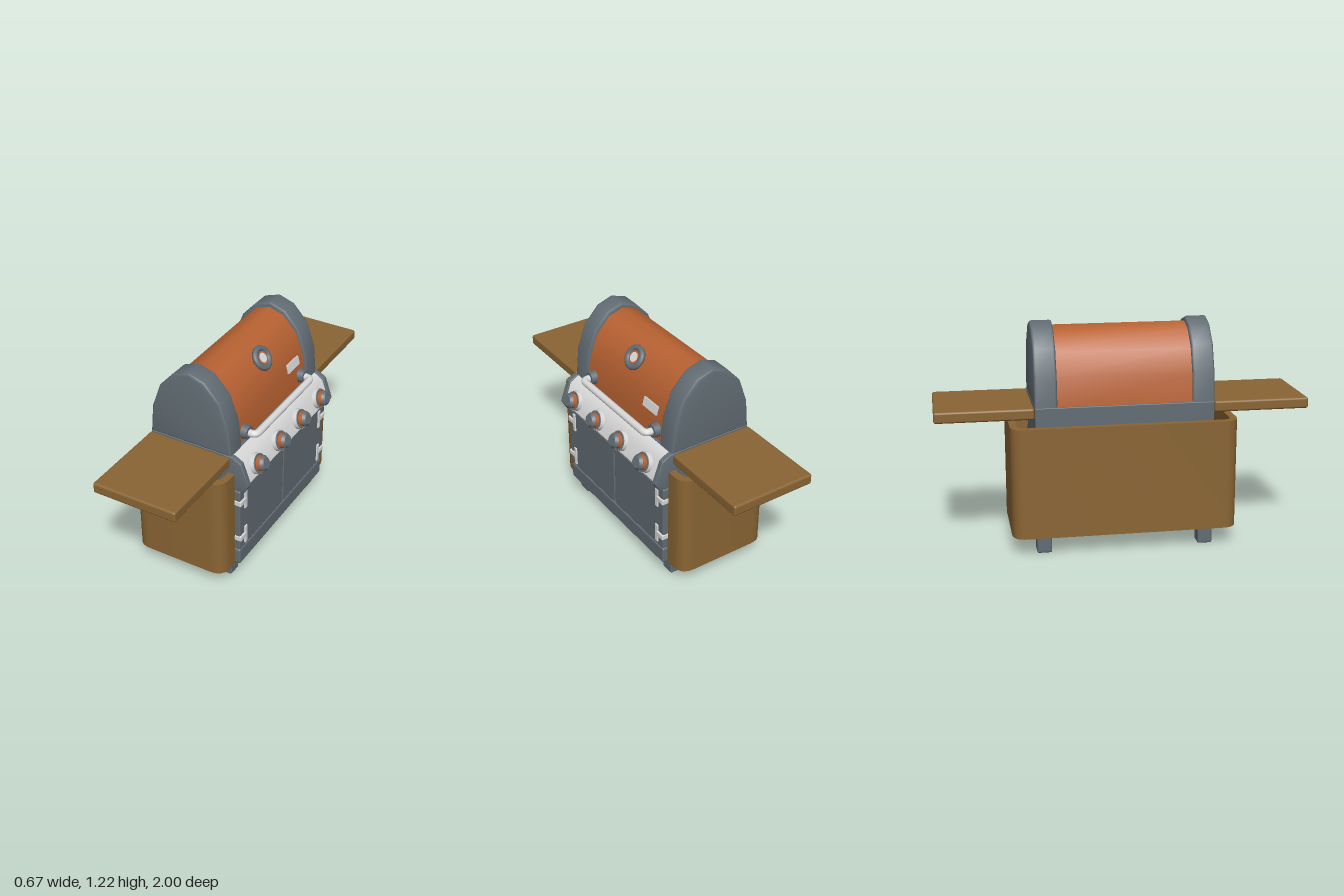
import * as THREE from 'three';
import { toCreasedNormals } from 'three/addons/utils/BufferGeometryUtils.js';
import { RoundedBoxGeometry } from 'three/addons/geometries/RoundedBoxGeometry.js';

const material = (name, color) => Object.assign(new THREE.MeshStandardMaterial({ color }), { name });

export function createModel() {
  const grey = material('slate grey', 0x626d74);
  const wood = material('wood brown', 0x8a6534);
  const orange = material('copper orange', 0xb86232);
  const white = material('pale metal', 0xdadada);
  const model = new THREE.Group();
  model.name = 'grill';

  const add = (name, geo, mat, x = 0, y = 0, z = 0, parent = model) => {
    const mesh = new THREE.Mesh(geo, mat);
    mesh.name = name;
    mesh.position.set(x, y, z);
    parent.add(mesh);
    return mesh;
  };
  // Box given by its lower and upper corners, with softly rounded edges
  const box = (name, mat, x0, x1, y0, y1, z0, z1, r = 0.006) =>
    add(name, new RoundedBoxGeometry(x1 - x0, y1 - y0, z1 - z0, 2, r), mat,
      (x0 + x1) / 2, (y0 + y1) / 2, (z0 + z1) / 2);
  // Side profile extruded along z
  const slab = (name, points, mat, z0, z1, bevel = 0) => {
    const shape = new THREE.Shape(points.map(([x, y]) => new THREE.Vector2(x, y)));
    const geo = new THREE.ExtrudeGeometry(shape, {
      depth: z1 - z0 - 2 * bevel, bevelEnabled: bevel > 0, bevelThickness: bevel,
      bevelSize: bevel, bevelOffset: -bevel, bevelSegments: 3,
    });
    return add(name, toCreasedNormals(geo, 0.7), mat, 0, 0, z0 + bevel);
  };
  // Group whose local y axis leans out from the front by the given angle
  const facing = (name, x, y, z, lean) => {
    const g = new THREE.Group();
    g.name = name;
    g.position.set(x, y, z);
    g.rotation.z = -lean;
    model.add(g);
    return g;
  };
  const cyl = (top, bottom, h) => new THREE.CylinderGeometry(top, bottom, h, 24);

  // Cabinet, doors and base rail
  box('cabinet', grey, -0.29, 0.19, 0.1, 0.8, -0.478, 0.478, 0.004);
  box('baseRail', grey, 0.18, 0.245, 0.1, 0.199, -0.48, 0.48, 0.012);
  for (const s of [-1, 1]) {
    const side = s > 0 ? 'left' : 'right';
    const span = (a, b) => (s > 0 ? [a, b] : [-b, -a]);
    box(side + 'Door', grey, 0.18, 0.245, 0.203, 0.592, ...span(0.002, 0.48), 0.008);
    box(side + 'Shelf', wood, -0.29, 0.19, 0.74, 0.8, ...span(0.48, 1), 0.012);
    for (const x of [-0.29, 0.11])
      box('leg', grey, x, x + 0.08, 0, 0.12, ...span(0.4, 0.48), 0.01);
    // T-shaped hinges
    for (const y of [0.28, 0.515]) {
      box('hingeBar', white, 0.24, 0.252, y - 0.058, y + 0.056, ...span(0.41, 0.435), 0.004);
      box('hingeArm', white, 0.212, 0.254, y - 0.016, y + 0.016, ...span(0.42, 0.484), 0.005);
    }
  }

  // Wooden surround, open at the front, drawn in plan (x, z)
  const wrap = new THREE.Shape();
  wrap.moveTo(0.215, 0.48);
  wrap.lineTo(0.215, 0.53);
  wrap.quadraticCurveTo(0.215, 0.61, 0.13, 0.61);
  wrap.lineTo(-0.25, 0.61);
  wrap.quadraticCurveTo(-0.335, 0.61, -0.335, 0.53);
  wrap.lineTo(-0.335, -0.53);
  wrap.quadraticCurveTo(-0.335, -0.61, -0.25, -0.61);
  wrap.lineTo(0.13, -0.61);
  wrap.quadraticCurveTo(0.215, -0.61, 0.215, -0.53);
  wrap.lineTo(0.215, -0.48);
  wrap.lineTo(0.175, -0.48);
  wrap.lineTo(0.175, -0.53);
  wrap.quadraticCurveTo(0.175, -0.57, 0.13, -0.57);
  wrap.lineTo(-0.25, -0.57);
  wrap.quadraticCurveTo(-0.295, -0.57, -0.295, -0.53);
  wrap.lineTo(-0.295, 0.53);
  wrap.quadraticCurveTo(-0.295, 0.57, -0.25, 0.57);
  wrap.lineTo(0.13, 0.57);
  wrap.quadraticCurveTo(0.175, 0.57, 0.175, 0.53);
  wrap.lineTo(0.175, 0.48);
  const wrapGeo = new THREE.ExtrudeGeometry(wrap, { depth: 0.6, bevelEnabled: false, curveSegments: 6 });
  add('woodSurround', toCreasedNormals(wrapGeo.rotateX(Math.PI / 2), 0.7), wood, 0, 0.7, 0);

  // Lid: a faceted arch with thicker end caps
  const arch = [[0.19, 0.8], [0.175, 0.96], [0.125, 1.1], [0.04, 1.192], [-0.05, 1.222],
    [-0.14, 1.192], [-0.225, 1.1], [-0.275, 0.96], [-0.29, 0.8]];
  const inner = arch.map(([x, y]) => [-0.05 + (x + 0.05) * 0.945, 0.8 + (y - 0.8) * 0.94]);
  slab('lid', inner, orange, -0.37, 0.37);
  slab('lidLeftCap', arch, grey, 0.36, 0.48, 0.012);
  slab('lidRightCap', arch, grey, -0.48, -0.36, 0.012);

  // Control panel with end brackets
  const bracket = [[0.15, 0.6], [0.27, 0.6], [0.296, 0.65], [0.252, 0.773], [0.205, 0.8], [0.15, 0.8]];
  const panel = [[0.15, 0.606], [0.262, 0.606], [0.287, 0.65], [0.245, 0.767], [0.2, 0.796], [0.15, 0.796]];
  slab('controlPanel', panel, white, -0.455, 0.455);
  slab('leftBracket', bracket, grey, 0.45, 0.482, 0.004);
  slab('rightBracket', bracket, grey, -0.482, -0.45, 0.004);

  // Knobs
  for (const z of [-0.35, -0.117, 0.117, 0.35]) {
    const knob = facing('knob', 0.263, 0.706, z, 1.22);
    add('knobBezel', cyl(0.055, 0.058, 0.03), white, 0, 0.012, 0, knob);
    add('knobDial', cyl(0.052, 0.054, 0.006), grey, 0, 0.028, 0, knob);
    add('knobCollar', cyl(0.04, 0.042, 0.028), orange, 0, 0.042, 0, knob);
    add('knobCap', cyl(0.03, 0.042, 0.016), grey, 0, 0.063, 0, knob);
  }

  // Lid handle
  const bar = new THREE.CurvePath();
  const v = (x, z) => new THREE.Vector3(x, 0.853, z);
  bar.add(new THREE.LineCurve3(v(0.17, -0.31), v(0.215, -0.31)));
  bar.add(new THREE.QuadraticBezierCurve3(v(0.215, -0.31), v(0.243, -0.31), v(0.243, -0.28)));
  bar.add(new THREE.LineCurve3(v(0.243, -0.28), v(0.243, 0.28)));
  bar.add(new THREE.QuadraticBezierCurve3(v(0.243, 0.28), v(0.243, 0.31), v(0.215, 0.31)));
  bar.add(new THREE.LineCurve3(v(0.215, 0.31), v(0.17, 0.31)));
  add('handle', new THREE.TubeGeometry(bar, 120, 0.02, 12), white);
  for (const z of [-0.31, 0.31])
    add('handleFlange', cyl(0.036, 0.04, 0.04), grey, 0.185, 0.853, z).rotation.z = -Math.PI / 2;

  // Thermometer
  const gauge = facing('thermometer', 0.104, 1.107, 0, 0.96);
  add('gaugeRing', new THREE.TorusGeometry(0.053, 0.017, 10, 28).rotateX(Math.PI / 2), grey, 0, 0, 0, gauge);
  add('gaugeFace', cyl(0.042, 0.042, 0.012), orange, 0, 0, 0, gauge);
  add('gaugeDial', cyl(0.027, 0.027, 0.006), white, 0, 0.006, 0, gauge);

  // Small plate on the lid
  const plate = facing('lidPlate', 0.162, 0.955, -0.24, 1.32);
  add('plate', new THREE.BoxGeometry(0.05, 0.009, 0.125), white, 0, 0.002, 0, plate);

  return model;
}
